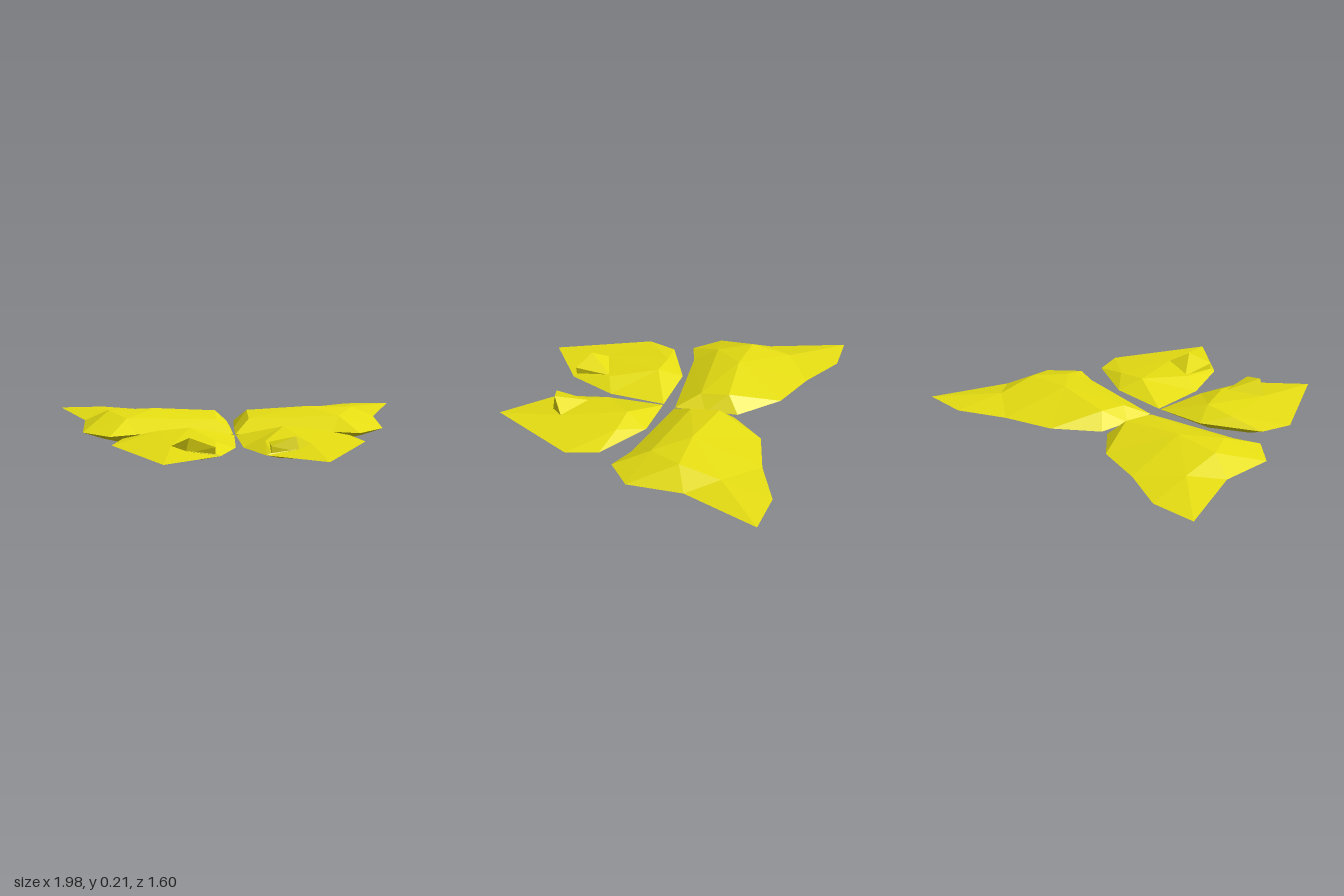
import * as THREE from 'three';
import { ConvexGeometry } from 'three/addons/geometries/ConvexGeometry.js';

const material = new THREE.MeshStandardMaterial({ color: 0xe6de12, flatShading: true, side: THREE.DoubleSide });
const toVectors = (points, mirror) => points.map(([x, y, z]) => new THREE.Vector3(x * mirror, y, z));

// Each wing: a thin rim, an upper loop and a lower loop (all in the same turning
// direction). A loop is capped by a fan from its first point.
const foreWing = {
  rim: [
    [0.005, 0.1, -0.06], [0.01, 0.105, -0.23], [0.02, 0.11, -0.41], [0.21, 0.13, -0.6],
    [0.48, 0.13, -0.68], [0.74, 0.13, -0.8], [0.99, 0.13, -0.79], [0.83, 0.13, -0.38],
    [0.83, 0.12, -0.08], [0.68, 0.12, 0.05], [0.54, 0.12, 0.0],
  ],
  upper: [
    [0.43, 0.21, -0.3], [0.7, 0.16, -0.53], [0.69, 0.2, -0.31],
    [0.59, 0.185, -0.13], [0.09, 0.165, -0.18], [0.09, 0.185, -0.34],
  ],
  lower: [
    [0.25, 0.0, -0.25], [0.45, 0.06, -0.48], [0.74, 0.1, -0.6],
    [0.6, 0.09, -0.3], [0.72, 0.08, -0.1], [0.53, 0.04, -0.09],
  ],
};
const hindWing = {
  rim: [
    [0.005, 0.11, 0.005], [0.31, 0.13, -0.005], [0.61, 0.13, 0.145], [0.665, 0.13, 0.31],
    [0.405, 0.135, 0.795], [0.115, 0.125, 0.58], [0.02, 0.11, 0.32],
  ],
  upper: [
    [0.36, 0.155, 0.46], [0.28, 0.145, 0.54], [0.14, 0.135, 0.57],
    [0.13, 0.155, 0.37], [0.25, 0.18, 0.12], [0.42, 0.165, 0.12],
  ],
  lower: [
    [0.23, 0.025, 0.15], [0.5, 0.075, 0.18], [0.4, 0.08, 0.48], [0.2, 0.08, 0.45],
  ],
};
// Raised fold near the tail of the hind wing
const foldPoints = [
  [0.36, 0.155, 0.46], [0.15, 0.15, 0.37], [0.27, 0.21, 0.53],
  [0.14, 0.17, 0.575], [0.29, 0.13, 0.535], [0.14, 0.125, 0.57],
];

// Stitches the rim to a loop and caps the loop; every face turns up or down as asked.
function addSkin(out, rim, loop, facing) {
  const normal = new THREE.Vector3();
  const addFace = (a, b, c) => {
    THREE.Triangle.getNormal(a, b, c, normal);
    const order = normal.y * facing >= 0 ? [a, b, c] : [a, c, b];
    order.forEach((p) => out.push(p.x, p.y, p.z));
  };
  const n = rim.length, m = loop.length;
  // the loop point nearest to the first rim point starts the stitching
  let start = 0;
  loop.forEach((p, k) => {
    if (p.distanceTo(rim[0]) < loop[start].distanceTo(rim[0])) start = k;
  });
  // keep both loops turning the same way
  let i = 0, j = 0;
  const area = (pts) => pts.reduce((s, p, k) => {
    const q = pts[(k + 1) % pts.length];
    return s + p.x * q.z - q.x * p.z;
  }, 0);
  const step = area(rim) * area(loop) > 0 ? 1 : -1;
  const R = (k) => rim[k % n];
  const L = (k) => loop[(((start + step * k) % m) + m) % m];
  while (i < n || j < m) {
    const alongRim = j >= m || (i < n && R(i + 1).distanceTo(L(j)) <= R(i).distanceTo(L(j + 1)));
    if (alongRim) {
      addFace(R(i), R(i + 1), L(j));
      i++;
    } else {
      addFace(R(i), L(j + 1), L(j));
      j++;
    }
  }
  for (let k = 1; k < m - 1; k++) addFace(loop[0], loop[k], loop[k + 1]);
}

function makeWing(name, { rim, upper, lower }, mirror) {
  const positions = [];
  const edge = toVectors(rim, mirror);
  addSkin(positions, edge, toVectors(upper, mirror), 1);
  addSkin(positions, edge, toVectors(lower, mirror), -1);
  const geometry = new THREE.BufferGeometry();
  geometry.setAttribute('position', new THREE.Float32BufferAttribute(positions, 3));
  geometry.computeVertexNormals();
  const mesh = new THREE.Mesh(geometry, material);
  mesh.name = name;
  return mesh;
}

export function createModel() {
  const group = new THREE.Group();
  group.name = 'butterflyWings';
  for (const [side, mirror] of [['left', 1], ['right', -1]]) {
    group.add(makeWing(side + 'ForeWing', foreWing, mirror));
    group.add(makeWing(side + 'HindWing', hindWing, mirror));
    const fold = new THREE.Mesh(new ConvexGeometry(toVectors(foldPoints, mirror)), material);
    fold.name = side + 'HindWingFold';
    group.add(fold);
  }
  return group;
}
